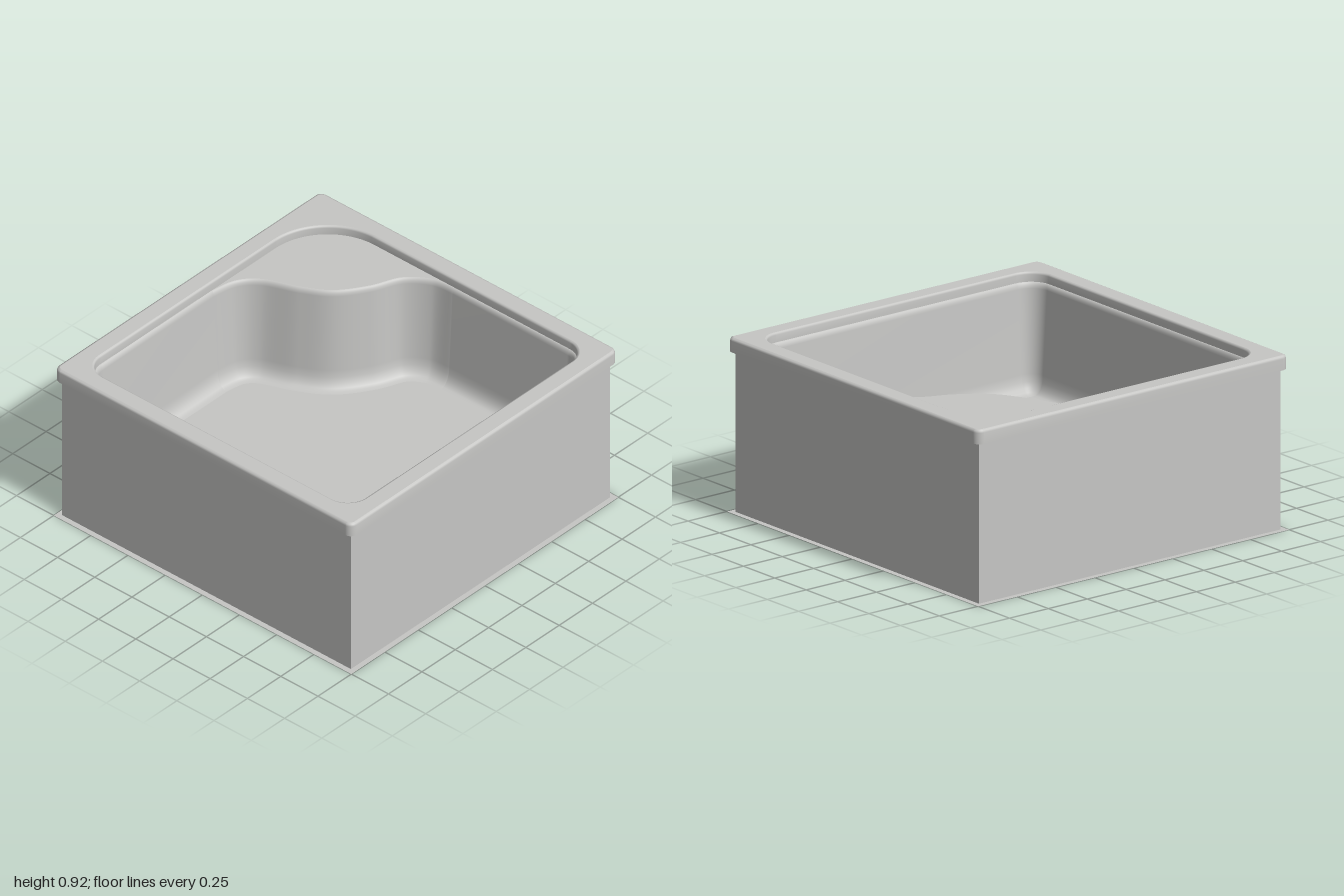
import * as THREE from 'three';

// Plan outlines are drawn in (x, -z), counter-clockwise seen from above.
const HALF = 1, SKIRT = 0.97, OPEN = 0.89;
const RIM_TOP = 0.92, RIM_BASE = 0.845, SEAT_Y = 0.87, FLOOR_Y = 0.3;

const seatEdge = [
  [0.872, 0.13], [0.78, 0.255], [0.62, 0.33], [0.47, 0.44], [0.38, 0.585],
  [0.3, 0.77], [0.2, 0.86], [0.06, 0.89],
].map(([x, y]) => new THREE.Vector2(x, y));

// Rounded square; the back left corner may have its own radius or follow the seat edge
function outline(h, r, corner = r) {
  const s = new THREE.Shape();
  s.moveTo(-h + r, -h);
  s.absarc(h - r, -h + r, r, -Math.PI / 2, 0);
  if (corner === 'seat') {
    s.lineTo(h, 0);
    s.splineThru(seatEdge);
  } else {
    s.absarc(h - corner, h - corner, corner, 0, Math.PI / 2);
  }
  s.absarc(-h + r, h - r, r, Math.PI / 2, Math.PI);
  s.absarc(-h + r, -h + r, r, Math.PI, Math.PI * 1.5);
  return cleanPoints(s.getPoints(14));
}

function cleanPoints(pts) {
  return pts.filter((p, i) => p.distanceTo(pts[(i + 1) % pts.length]) > 1e-4);
}

function circle(x, y, r) {
  return cleanPoints(new THREE.Path().absarc(x, y, r, 0, Math.PI * 2).getPoints(40));
}

// Move a closed outline inwards by d
function inset(pts, d) {
  const n = pts.length;
  return pts.map((p, i) => {
    const a = p.clone().sub(pts[(i + n - 1) % n]).normalize();
    const b = pts[(i + 1) % n].clone().sub(p).normalize();
    const m = new THREE.Vector2(-a.y - b.y, a.x + b.x).normalize();
    const c = Math.max(0.5, -m.x * a.y + m.y * a.x);
    return p.clone().addScaledVector(m, d / c);
  });
}

// Skin through copies of one outline, each given as [inset, height]
function loft(pts, profile) {
  const pos = [], idx = [], n = pts.length;
  profile.forEach(([d, y], i) => {
    for (const p of inset(pts, d)) pos.push(p.x, y, -p.y);
    if (i === 0) return;
    for (let j = 0; j < n; j++) {
      const k = (j + 1) % n, lo = (i - 1) * n, hi = i * n;
      idx.push(lo + j, lo + k, hi + k, lo + j, hi + k, hi + j);
    }
  });
  const g = new THREE.BufferGeometry();
  g.setAttribute('position', new THREE.Float32BufferAttribute(pos, 3));
  g.setIndex(idx);
  g.computeVertexNormals();
  return g;
}

// Flat horizontal face with an optional hole
function flat(pts, y, hole) {
  const s = new THREE.Shape(pts);
  if (hole) s.holes.push(new THREE.Path(hole));
  return new THREE.ShapeGeometry(s).rotateX(-Math.PI / 2).translate(0, y, 0);
}

function square(h) {
  return [[-h, -h], [h, -h], [h, h], [-h, h]].map(([x, y]) => new THREE.Vector2(x, y));
}

export function createModel() {
  const group = new THREE.Group();
  const enamel = new THREE.MeshStandardMaterial({ color: 0xc6c6c4, side: THREE.DoubleSide });
  enamel.name = 'grey enamel';
  const beige = new THREE.MeshStandardMaterial({ color: 0xcfcbb4, side: THREE.DoubleSide });
  beige.name = 'beige';
  const add = (name, geometry, material = enamel) => {
    const mesh = new THREE.Mesh(geometry, material);
    mesh.name = name;
    group.add(mesh);
    return mesh;
  };

  // Rim with softened outer and inner edges
  const outer = outline(HALF, 0.04);
  const opening = outline(OPEN, 0.12, 0.35);
  add('rimOuterEdge', loft(outer, [[0, RIM_BASE], [0, 0.904], [0.004, 0.915], [0.015, RIM_TOP]]));
  add('rimTop', flat(inset(outer, 0.015), RIM_TOP, inset(opening, -0.012)));
  add('rimInnerEdge', loft(opening, [[-0.012, RIM_TOP], [-0.004, 0.917], [0, 0.908], [0, SEAT_Y]]));
  add('rimUnderside', flat(outer, RIM_BASE, square(SKIRT)));

  // Corner seat between the rim opening and the curved edge
  const seat = new THREE.Shape();
  seat.moveTo(OPEN, 0);
  seat.splineThru(seatEdge);
  seat.lineTo(OPEN - 0.35, OPEN);
  seat.absarc(OPEN - 0.35, OPEN - 0.35, 0.35, Math.PI / 2, 0, true);
  add('seat', flat(cleanPoints(seat.getPoints(14)), SEAT_Y));

  // Basin walls, coved into the floor
  const basin = outline(OPEN, 0.12, 'seat');
  add('basinWalls', loft(basin, [
    [0, SEAT_Y], [0.007, 0.867], [0.013, 0.855], [0.016, 0.84], [0.042, 0.4],
    [0.047, 0.36], [0.058, 0.33], [0.074, 0.311], [0.09, 0.303], [0.11, FLOOR_Y],
  ]));
  const drainHole = circle(-0.64, 0.64, 0.076);
  add('basinFloor', flat(inset(basin, 0.11), FLOOR_Y, drainHole));

  // Drain
  add('drainRecess', loft(drainHole, [[0, FLOOR_Y], [0.008, 0.295], [0.013, 0.28]]));
  add('drainCover', flat(circle(-0.64, 0.64, 0.064), 0.281), beige);

  // Four skirt panels
  for (let i = 0; i < 4; i++) {
    const panel = new THREE.PlaneGeometry(SKIRT * 2, RIM_BASE)
      .translate(0, RIM_BASE / 2, SKIRT).rotateY(i * Math.PI / 2);
    add('skirtPanel', panel);
  }

  // Base flange and recessed underside panel
  add('baseFlange', flat(square(HALF), 0, square(0.93)));
  add('undersidePanel', flat(square(SKIRT), 0.17), beige);
  return group;
}
